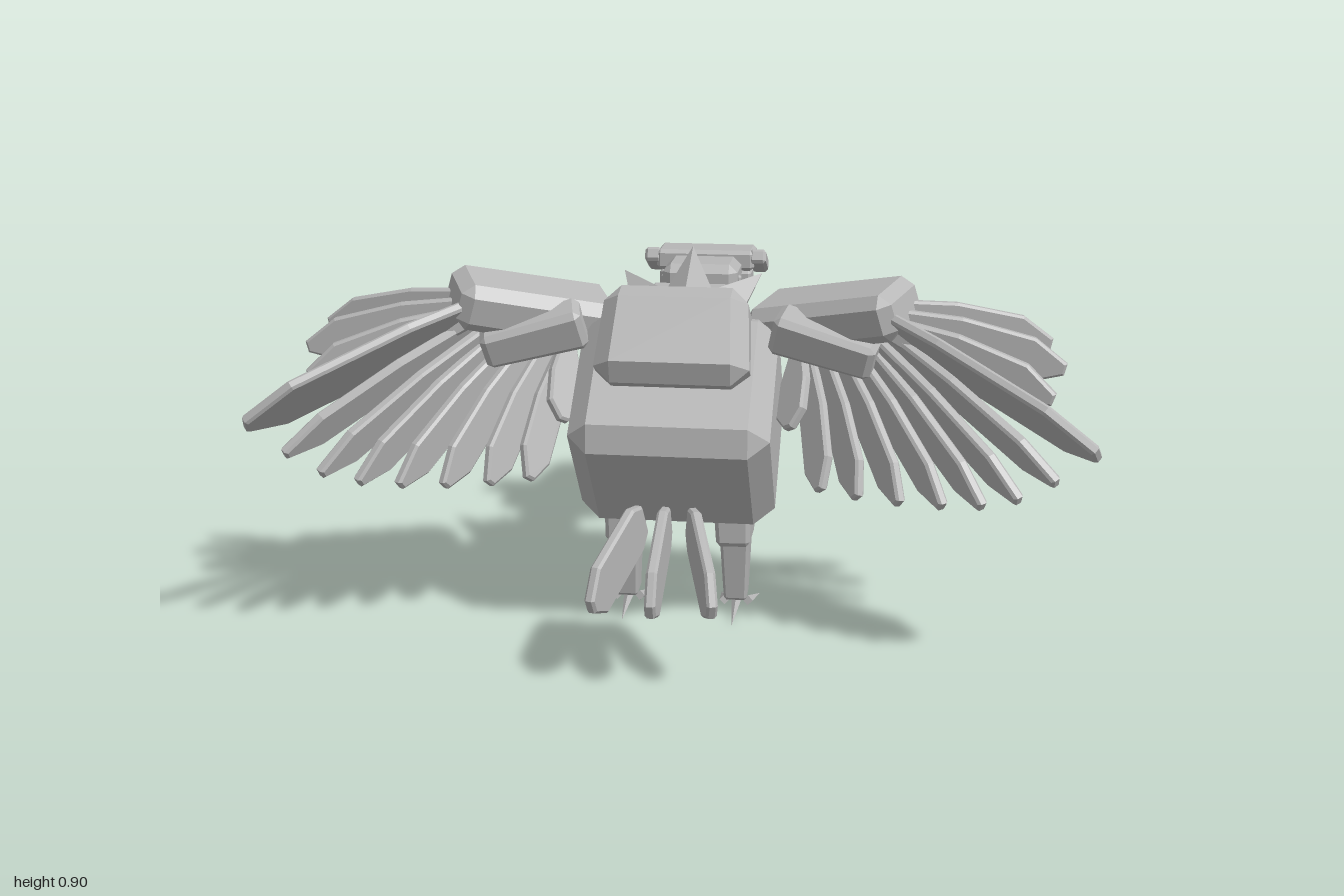
import * as THREE from 'three';
import { ConvexGeometry } from 'three/addons/geometries/ConvexGeometry.js';

const grey = new THREE.MeshStandardMaterial({ color: 0xb6b6b6, flatShading: true });
grey.name = 'plain grey';
const V = (a) => new THREE.Vector3(...a);

// Box with chamfered edges; taper scales the far (+x) end.
function chamferBox(w, h, d, b, taper = 1) {
  const pts = [];
  for (const sx of [-1, 1]) for (const sy of [-1, 1]) for (const sz of [-1, 1]) {
    const k = sx > 0 ? taper : 1;
    const add = (bx, by, bz) =>
      pts.push(new THREE.Vector3(sx * (w / 2 - bx), sy * (h / 2 - by) * k, sz * (d / 2 - bz) * k));
    add(0, b, b); add(b, 0, b); add(b, b, 0);
  }
  return new ConvexGeometry(pts);
}

// Feather running along +x: narrow root, full width from "swell" on, clipped point.
function featherGeometry(len, width, root, swell) {
  const h = width / 2, bevel = 0.006;
  const s = new THREE.Shape();
  s.moveTo(0, -h * root);
  s.lineTo(len * swell, -h);
  s.lineTo(len * 0.84, -h);
  s.lineTo(len, -h * 0.3);
  s.lineTo(len, h * 0.25);
  s.lineTo(len * 0.8, h);
  s.lineTo(len * swell, h);
  s.lineTo(0, h * root);
  s.closePath();
  const g = new THREE.ExtrudeGeometry(s, {
    depth: 0.014, bevelEnabled: true, bevelThickness: bevel, bevelSize: bevel, bevelOffset: -bevel, bevelSegments: 1,
  });
  return g.translate(0, 0, -0.007);
}

// Turns a mesh so its x axis runs from a to b and its y axis leans towards hint.
function aim(mesh, a, b, hint, centred = false) {
  const p = V(a), q = V(b);
  const x = q.clone().sub(p).normalize();
  const y = V(hint);
  y.addScaledVector(x, -y.dot(x)).normalize();
  const z = x.clone().cross(y);
  mesh.quaternion.setFromRotationMatrix(new THREE.Matrix4().makeBasis(x, y, z));
  mesh.position.copy(centred ? p.add(q).multiplyScalar(0.5) : p);
  return mesh;
}

const dist = (a, b) => V(a).distanceTo(V(b));

export function createModel() {
  const model = new THREE.Group();
  model.name = 'bird';

  const put = (name, geometry, parent = model) => {
    const m = new THREE.Mesh(geometry, grey);
    m.name = name;
    parent.add(m);
    return m;
  };
  const box = (name, size, pos, bevel = 0.01, rx = 0, parent = model) => {
    const m = put(name, chamferBox(...size, bevel), parent);
    m.position.set(...pos);
    m.rotation.x = rx;
    return m;
  };
  const limb = (name, a, b, h, d, bevel, hint, taper, parent) =>
    aim(put(name, chamferBox(dist(a, b), h, d, bevel, taper), parent), a, b, hint, true);
  const feather = (name, a, b, width, hint, parent, root = 0.5, swell = 0.4) =>
    aim(put(name, featherGeometry(dist(a, b), width, root, swell), parent), a, b, hint);
  const spike = (name, a, b, r, parent) => {
    const len = dist(a, b);
    const g = new THREE.ConeGeometry(r, len, 4).rotateZ(-Math.PI / 2).translate(len / 2, 0, 0);
    return aim(put(name, g, parent), a, b, Math.abs(b[1] - a[1]) > len * 0.95 ? [1, 0, 0] : [0, 1, 0]);
  };

  // Body: two tilted blocks, the upper one flaring downwards
  box('belly', [0.485, 0.39, 0.42], [0, 0.523, 0.187], 0.05, 0.69);
  limb('back', [0, 0.791, 0.109], [0, 0.579, 0.241], 0.36, 0.35, 0.04, [0, 0.53, 0.85], 1.07);

  // Ruff of spikes round the base of the neck
  const ruff = new THREE.Group();
  ruff.name = 'ruff';
  model.add(ruff);
  box('collar', [0.25, 0.24, 0.12], [0, 0.69, -0.045], 0.03, 0, ruff);
  for (const [count, r0, z0, r1, z1, size] of [[8, 0.1, 0.01, 0.225, -0.088, 0.075], [7, 0.07, -0.05, 0.15, -0.115, 0.052]]) {
    for (let i = 0; i < count; i++) {
      const t = (i / count) * Math.PI * 2, c = Math.sin(t) * 1.12, s = Math.cos(t);
      spike('ruffSpike', [c * r0, 0.68 + s * r0, z0], [c * r1, 0.68 + s * r1, z1], size, ruff);
    }
  }

  // Neck, head and beak, reaching towards -z
  limb('neck', [0, 0.7, -0.06], [0, 0.695, -0.25], 0.14, 0.125, 0.012, [0, 1, 0], 0.85);
  const head = new THREE.Group();
  head.name = 'head';
  model.add(head);
  box('skull', [0.2, 0.215, 0.225], [0, 0.722, -0.327], 0.022, 0, head);
  box('nape', [0.215, 0.19, 0.02], [0, 0.7, -0.27], 0.005, 0, head);
  box('jowl', [0.22, 0.125, 0.125], [0, 0.633, -0.338], 0.008, 0, head);
  box('brow', [0.265, 0.055, 0.113], [0, 0.817, -0.404], 0.01, 0, head);
  for (const s of [-1, 1]) {
    box('browEnd', [0.045, 0.04, 0.105], [s * 0.143, 0.81, -0.4], 0.008, -0.45, head);
    box('eye', [0.04, 0.075, 0.085], [s * 0.105, 0.752, -0.397], 0.008, 0, head);
  }
  limb('upperBeak', [0, 0.715, -0.445], [0, 0.715, -0.615], 0.145, 0.13, 0.018, [0, 1, 0], 0.93, head);
  box('lowerBeak', [0.1, 0.042, 0.152], [0, 0.627, -0.55], 0.008, 0, head);
  limb('beakTip', [0, 0.75, -0.605], [0, 0.705, -0.695], 0.1, 0.095, 0.014, [0, 1, 0], 0.85, head);
  spike('beakHook', [0, 0.705, -0.69], [0, 0.565, -0.712], 0.03, head);

  // Tail: three upright plates spread sideways
  for (const s of [-1, 0, 1]) {
    feather('tailFeather', [s * 0.06, 0.343, 0.43], [s * 0.14, 0.217, s ? 0.695 : 0.712], 0.132, [0, 1, 0], model, 0.6, 0.14);
  }

  // Fan of long wing feathers: root and tip for each
  const fan = [
    [[0.5, 0.76, 0.2], [0.9, 0.5, 0.525]],
    [[0.47, 0.74, 0.18], [0.82, 0.45, 0.51]],
    [[0.45, 0.72, 0.165], [0.74, 0.42, 0.475]],
    [[0.42, 0.7, 0.145], [0.65, 0.405, 0.44]],
    [[0.39, 0.685, 0.125], [0.55, 0.395, 0.4]],
    [[0.35, 0.67, 0.1], [0.45, 0.39, 0.355]],
    [[0.31, 0.66, 0.08], [0.36, 0.39, 0.31]],
    [[0.29, 0.69, 0.13], [0.28, 0.53, 0.27]],
  ];
  // Upright blades above the wing tip
  const blades = [[0.9, 0.73, 0.135], [0.93, 0.69, 0.225], [0.9, 0.64, 0.32]];

  for (const s of [-1, 1]) {
    const m = ([x, y, z]) => [s * x, y, z];
    const side = s > 0 ? 'left' : 'right';

    const wing = new THREE.Group();
    wing.name = side + 'Wing';
    model.add(wing);
    limb('upperWing', m([0.195, 0.74, 0.05]), m([0.55, 0.83, 0.235]), 0.19, 0.125, 0.028, m([-0.48, -0.22, 0.86]), 0.95, wing);
    limb('wingCovert', m([0.235, 0.765, 0.2]), m([0.48, 0.7, 0.235]), 0.105, 0.1, 0.015, m([0, 1, 0.3]), 0.85, wing);
    limb('wingThumb', m([0.4, 0.715, 0.19]), m([0.49, 0.69, 0.055]), 0.085, 0.09, 0.012, m([0, 1, 0]), 0.85, wing);
    feather('leadingFeather', m([0.5, 0.79, 0.215]), m([0.985, 0.575, 0.545]), 0.19, m([-0.35, 0.65, 0.65]), wing, 0.65, 0.3);
    fan.forEach(([a, b], i) => {
      const t = i / (fan.length - 1);
      feather('wingFeather', m(a), m(b), 0.09, m([0.1 + 0.65 * t, 0.7 - 0.25 * t, 0.7 - 0.15 * t]), wing);
    });
    blades.forEach((b, i) => {
      feather('wingTipFeather', m([0.5, 0.815 - i * 0.015, 0.2 + i * 0.02]), m(b), 0.105, [0, 1, 0], wing);
    });

    const leg = new THREE.Group();
    leg.name = side + 'Leg';
    model.add(leg);
    limb('thigh', m([0.135, 0.4, 0.165]), m([0.14, 0.205, 0.172]), 0.16, 0.1, 0.012, [0, 0, 1], 0.85, leg);
    limb('shin', m([0.14, 0.22, 0.155]), m([0.14, 0.042, 0.138]), 0.085, 0.075, 0.008, [0, 0, 1], 0.78, leg);
    for (const dx of [-0.05, 0, 0.05]) {
      spike('toe', m([0.14 + dx * 0.6, 0.03, 0.14]), m([0.14 + dx, 0.004, dx ? 0.02 : 0]), 0.013, leg);
    }
    spike('backToe', m([0.14, 0.03, 0.13]), m([0.14, 0.004, 0.25]), 0.013, leg);
  }
  return model;
}
